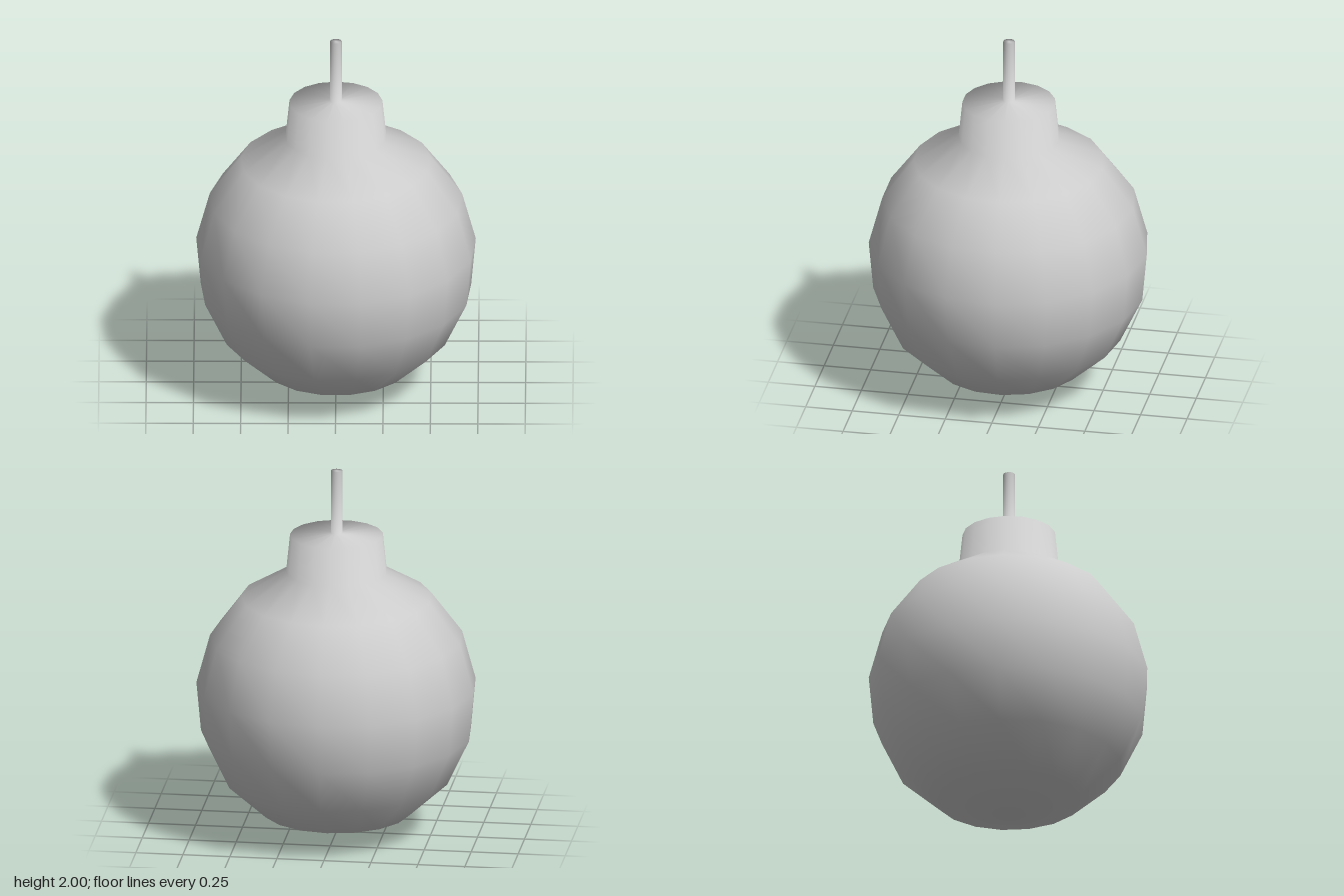
import * as THREE from 'three';
import { mergeVertices } from 'three/addons/utils/BufferGeometryUtils.js';

const SIDES = 17;
const NECK_BASE = 1.44;
const FUSE_BASE = 1.655;

// Outline as [radius, height], from the bottom point to the fuse tip
const OUTLINE = [
  [0, 0], [0.393, 0.115], [0.597, 0.3], [0.716, 0.55], [0.74, 0.815],
  [0.668, 1.08], [0.504, 1.3], [0.267, NECK_BASE],
  [0.246, 1.645], [0.031, FUSE_BASE],
  [0.031, 2], [0, 2],
];

// One smooth shell, so that shading flows across all the parts
function makeShell() {
  const points = OUTLINE.map(([r, y]) => new THREE.Vector2(r, y));
  const lathe = new THREE.LatheGeometry(points, SIDES, Math.PI);
  lathe.deleteAttribute('normal');
  lathe.deleteAttribute('uv');
  const shell = mergeVertices(lathe, 1e-4);
  shell.computeVertexNormals();
  return shell;
}

// The faces of the shell between two heights
function band(shell, low, high) {
  const position = shell.attributes.position;
  const source = shell.index.array;
  const faces = [];
  for (let i = 0; i < source.length; i += 3) {
    const corners = [source[i], source[i + 1], source[i + 2]];
    if (new Set(corners).size < 3) continue;
    const inside = corners.every((c) => {
      const y = position.getY(c);
      return y > low - 1e-3 && y < high + 1e-3;
    });
    if (inside) faces.push(...corners);
  }
  return shell.clone().setIndex(faces);
}

export function createModel() {
  const model = new THREE.Group();
  model.name = 'roundBomb';
  const material = new THREE.MeshStandardMaterial({ color: 0xcccccc });
  const shell = makeShell();

  const parts = [
    ['body', 0, NECK_BASE],
    ['neck', NECK_BASE, FUSE_BASE],
    ['fuse', FUSE_BASE, 2],
  ];
  for (const [name, low, high] of parts) {
    const mesh = new THREE.Mesh(band(shell, low, high), material);
    mesh.name = name;
    mesh.position.z = 0.006; // centres the odd-sided outline
    model.add(mesh);
  }
  return model;
}
